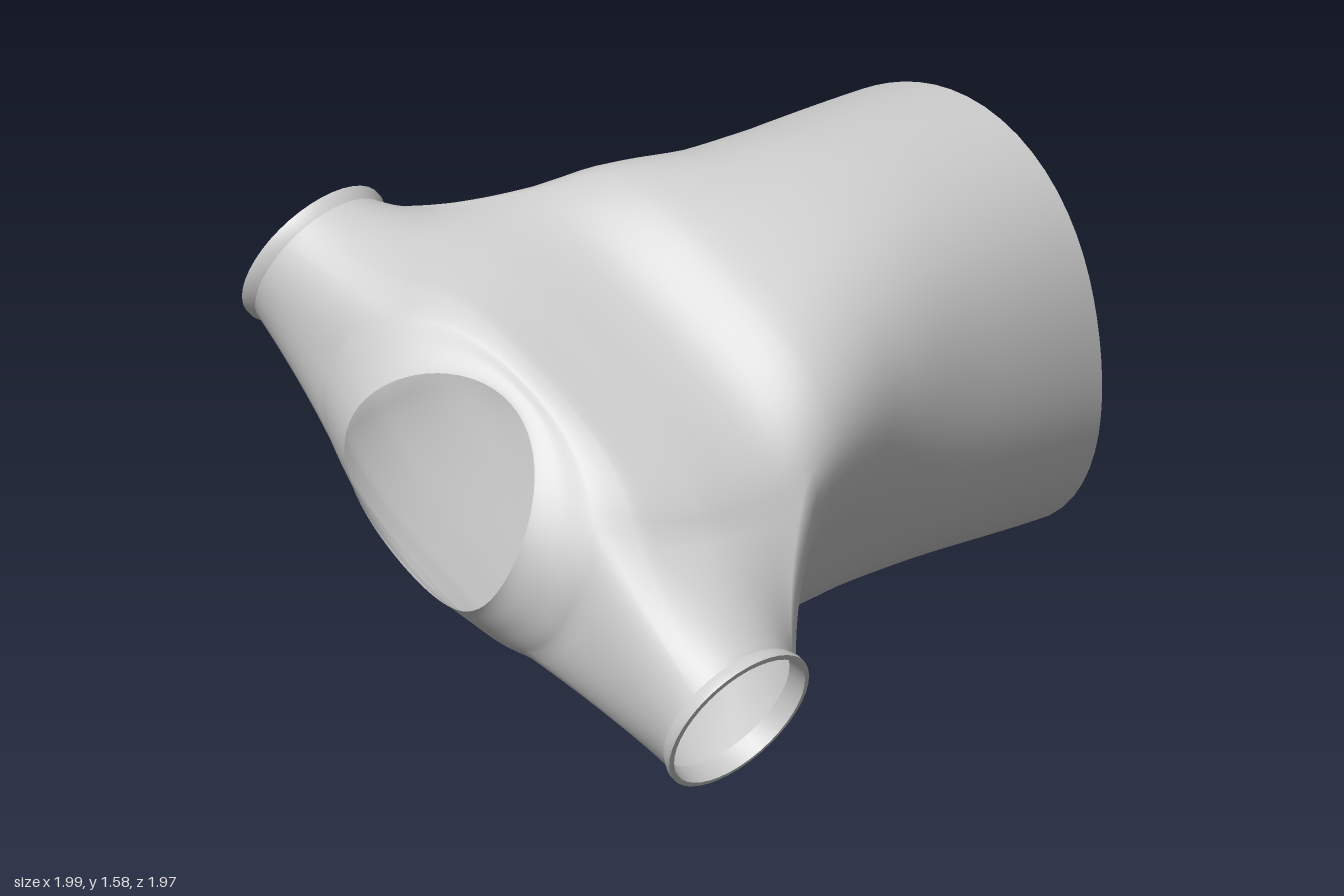
import * as THREE from 'three';
import { toCreasedNormals } from 'three/addons/utils/BufferGeometryUtils.js';

const AROUND = 64, STEP = 6, HALF = 7;   // columns, rows per section, half width of an armhole in columns
const HOLE_LOW = 21, HOLE_HIGH = 42;     // rows that bound the armholes

// Body sections from hem to neck: centre x, y, z; half width, half depth;
// neckline curve, squareness, three-cornered bulge
const SECTIONS = [
  [-0.025, 0.2, -0.955, 0.68, 0.61, 0, 2, 0.05],
  [-0.03, 0.17, -0.5, 0.66, 0.6, 0, 2.1, 0.045],
  [-0.03, 0.13, -0.2, 0.645, 0.585, 0, 2.4, 0.025],
  [-0.03, 0.085, 0.1, 0.68, 0.53, 0, 3, 0],
  [-0.015, 0.02, 0.3, 0.76, 0.455, 0, 3.1, 0],
  [-0.01, -0.005, 0.55, 0.74, 0.415, 0, 3, 0],
  [-0.02, -0.01, 0.75, 0.66, 0.385, 0.35, 2.6, 0],
  [-0.025, -0.015, 0.85, 0.56, 0.36, 0.8, 2.3, 0],
  [-0.03, -0.025, 0.885, 0.45, 0.342, 0.95, 2.1, 0],
  [-0.03, -0.03, 0.92, 0.355, 0.325, 1, 2, 0],
];

// Sleeve ends: centre and column facing it
const SLEEVES = [
  { name: 'left', x: 1.02, y: -0.045, z: 0.635, column: 0, side: 1 },
  { name: 'right', x: -0.985, y: -0.05, z: 0.625, column: AROUND / 2, side: -1 },
];

function shirtGeometry() {
  const positions = [], index = [];
  const quad = (a, b, c, d) => index.push(a, b, c, a, c, d);
  const centres = new THREE.CatmullRomCurve3(SECTIONS.map(s => new THREE.Vector3(s[0], s[1], s[2])));
  const sizes = new THREE.SplineCurve(SECTIONS.map(s => new THREE.Vector2(s[3], s[4])));
  const shapes = new THREE.CatmullRomCurve3(SECTIONS.map(s => new THREE.Vector3(s[5], s[6], s[7])));
  const rows = (SECTIONS.length - 1) * STEP;
  const vertex = (column, row) => row * AROUND + ((column + AROUND) % AROUND);

  // Torso rings, with a tilted hem and a neckline that dips front and back
  for (let row = 0; row <= rows; row++) {
    const t = row / rows;
    const c = centres.getPoint(t), size = sizes.getPoint(t);
    const { x: curve, y: power, z: bulge } = shapes.getPoint(t);
    const rounded = v => Math.sign(v) * Math.abs(v) ** (2 / power);
    for (let i = 0; i < AROUND; i++) {
      const angle = i / AROUND * Math.PI * 2;
      const swell = 1 - bulge * Math.sin(3 * angle);
      const dip = curve * (0.06 * Math.cos(2 * angle) - 0.04 * Math.sin(angle));
      const tilt = Math.max(0, -c.z) * 0.035 * Math.sin(angle - Math.PI / 6);
      positions.push(
        c.x + size.x * swell * rounded(Math.cos(angle)),
        c.y + size.y * swell * rounded(Math.sin(angle)),
        c.z + dip + tilt);
    }
  }
  const inArmhole = (i, row) => row >= HOLE_LOW && row < HOLE_HIGH &&
    SLEEVES.some(({ column }) => (i - column + HALF + AROUND) % AROUND < 2 * HALF);
  for (let row = 0; row < rows; row++) {
    for (let i = 0; i < AROUND; i++) {
      if (inArmhole(i, row)) continue;
      quad(vertex(i, row), vertex(i + 1, row), vertex(i + 1, row + 1), vertex(i, row + 1));
    }
  }

  // Sleeves: blend each armhole's edge into a circle at the cuff
  for (const sleeve of SLEEVES) {
    const loop = [];
    for (let i = -HALF; i < HALF; i++) loop.push(vertex(sleeve.column + i, HOLE_LOW));
    for (let r = HOLE_LOW; r < HOLE_HIGH; r++) loop.push(vertex(sleeve.column + HALF, r));
    for (let i = HALF; i > -HALF; i--) loop.push(vertex(sleeve.column + i, HOLE_HIGH));
    for (let r = HOLE_HIGH; r > HOLE_LOW; r--) loop.push(vertex(sleeve.column - HALF, r));
    const start = loop.map(v => new THREE.Vector3().fromArray(positions, v * 3));
    const box = new THREE.Box3().setFromPoints(start);
    const middle = box.getCenter(new THREE.Vector3());
    const half = box.getSize(new THREE.Vector3()).multiplyScalar(0.5);
    let previous = loop;
    for (let k = 1; k <= 12; k++) {
      const s = k / 12, ease = s * (1.3 - 0.3 * s);
      const ring = start.map(p => {
        const angle = Math.atan2((p.z - middle.z) / half.z, (p.y - middle.y) / half.y);
        positions.push(
          THREE.MathUtils.lerp(p.x, sleeve.x - sleeve.side * 0.04, s),
          THREE.MathUtils.lerp(p.y, sleeve.y + 0.238 * Math.cos(angle), ease),
          THREE.MathUtils.lerp(p.z, sleeve.z + 0.236 * Math.sin(angle), ease));
        return positions.length / 3 - 1;
      });
      ring.forEach((v, i) => {
        const j = (i + 1) % ring.length;
        quad(previous[i], previous[j], ring[j], v);
      });
      previous = ring;
    }
  }

  const geometry = new THREE.BufferGeometry();
  geometry.setAttribute('position', new THREE.Float32BufferAttribute(positions, 3));
  geometry.setIndex(index);
  geometry.computeVertexNormals();
  return geometry;
}

export function createModel() {
  const model = new THREE.Group();
  model.name = 'shirt';
  const cloth = new THREE.MeshStandardMaterial({ color: 0xcccccc, side: THREE.DoubleSide });

  // The shirt leans sideways, left sleeve down
  const garment = new THREE.Group();
  garment.name = 'garment';
  garment.position.y = 0.77;
  garment.rotation.z = -Math.PI / 6;
  model.add(garment);

  const body = new THREE.Mesh(shirtGeometry(), cloth);
  body.name = 'torsoAndSleeves';
  garment.add(body);

  // Turned cuffs at the sleeve ends
  const profile = [[0.237, -0.045], [0.25, -0.015], [0.25, 0], [0.234, 0.002], [0.226, -0.06]]
    .map(([r, h]) => new THREE.Vector2(r, h));
  const cuffGeometry = toCreasedNormals(new THREE.LatheGeometry(profile, 40), 0.8);
  for (const sleeve of SLEEVES) {
    const cuff = new THREE.Mesh(cuffGeometry, cloth);
    cuff.name = sleeve.name + 'Cuff';
    cuff.position.set(sleeve.x, sleeve.y, sleeve.z);
    cuff.rotation.z = -sleeve.side * Math.PI / 2;
    garment.add(cuff);
  }
  return model;
}
